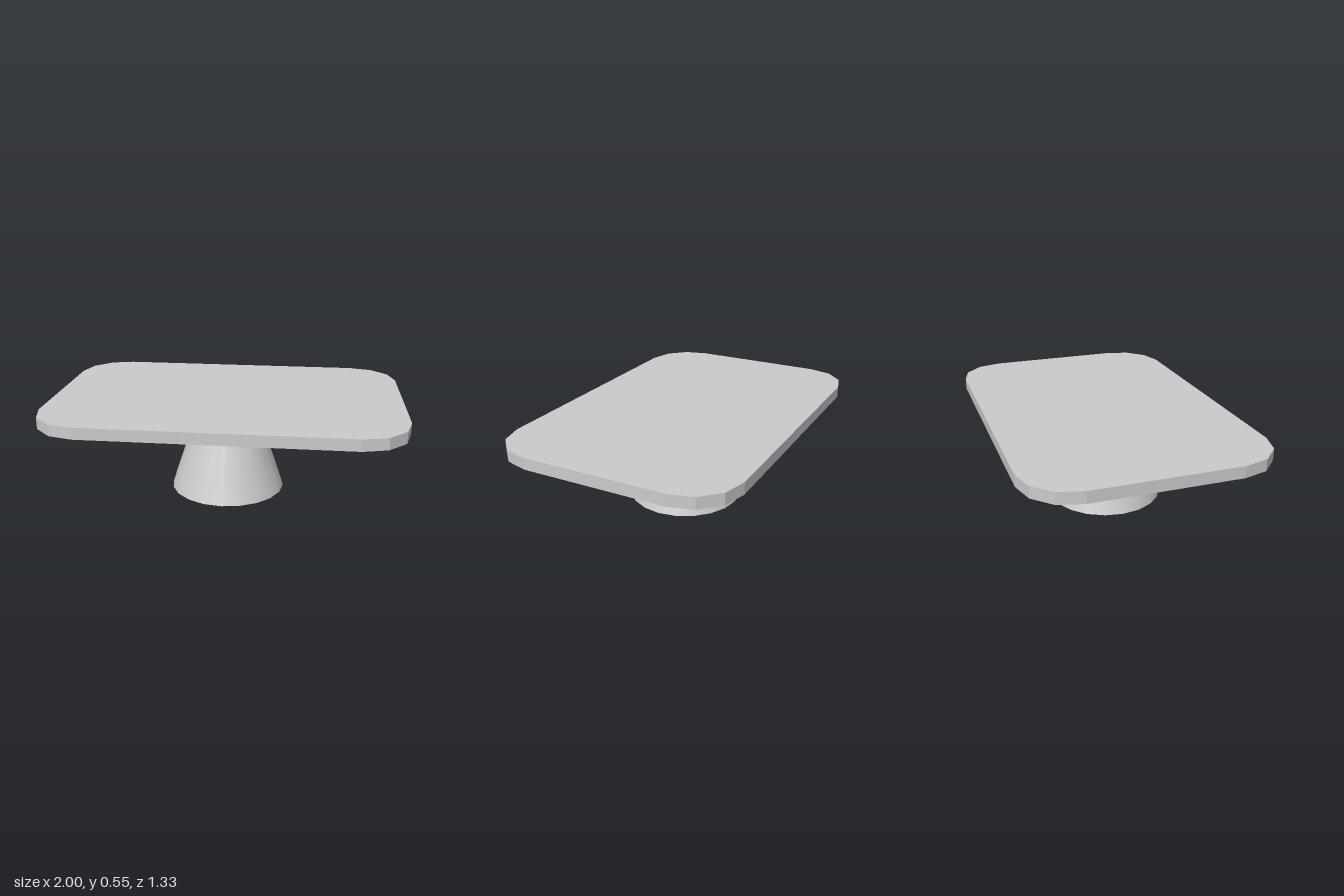
import * as THREE from 'three';

export function createModel() {
  const group = new THREE.Group();
  const material = new THREE.MeshStandardMaterial({ color: 0xcccccc });
  const legHeight = 0.487, thickness = 0.065;

  // Table top: rounded rectangle with three facets per corner
  const hx = 1, hz = 0.667, r = 0.267;
  const points = [];
  [[1, 1], [-1, 1], [-1, -1], [1, -1]].forEach(([sx, sz], corner) => {
    for (let i = 0; i <= 3; i++) {
      const a = (corner + i / 3) * Math.PI / 2;
      points.push(new THREE.Vector2(
        sx * (hx - r) + r * Math.cos(a),
        sz * (hz - r) + r * Math.sin(a)
      ));
    }
  });
  const topGeometry = new THREE.ExtrudeGeometry(new THREE.Shape(points), {
    depth: thickness, bevelEnabled: false
  });
  topGeometry.rotateX(-Math.PI / 2);
  const top = new THREE.Mesh(topGeometry, material);
  top.name = 'tableTop';
  top.position.y = legHeight;
  group.add(top);

  // Tapered pedestal, set slightly towards the front
  const pedestal = new THREE.Mesh(
    new THREE.CylinderGeometry(0.172, 0.333, legHeight, 20), material
  );
  pedestal.name = 'pedestal';
  pedestal.position.set(0, legHeight / 2, 0.03);
  group.add(pedestal);

  return group;
}
